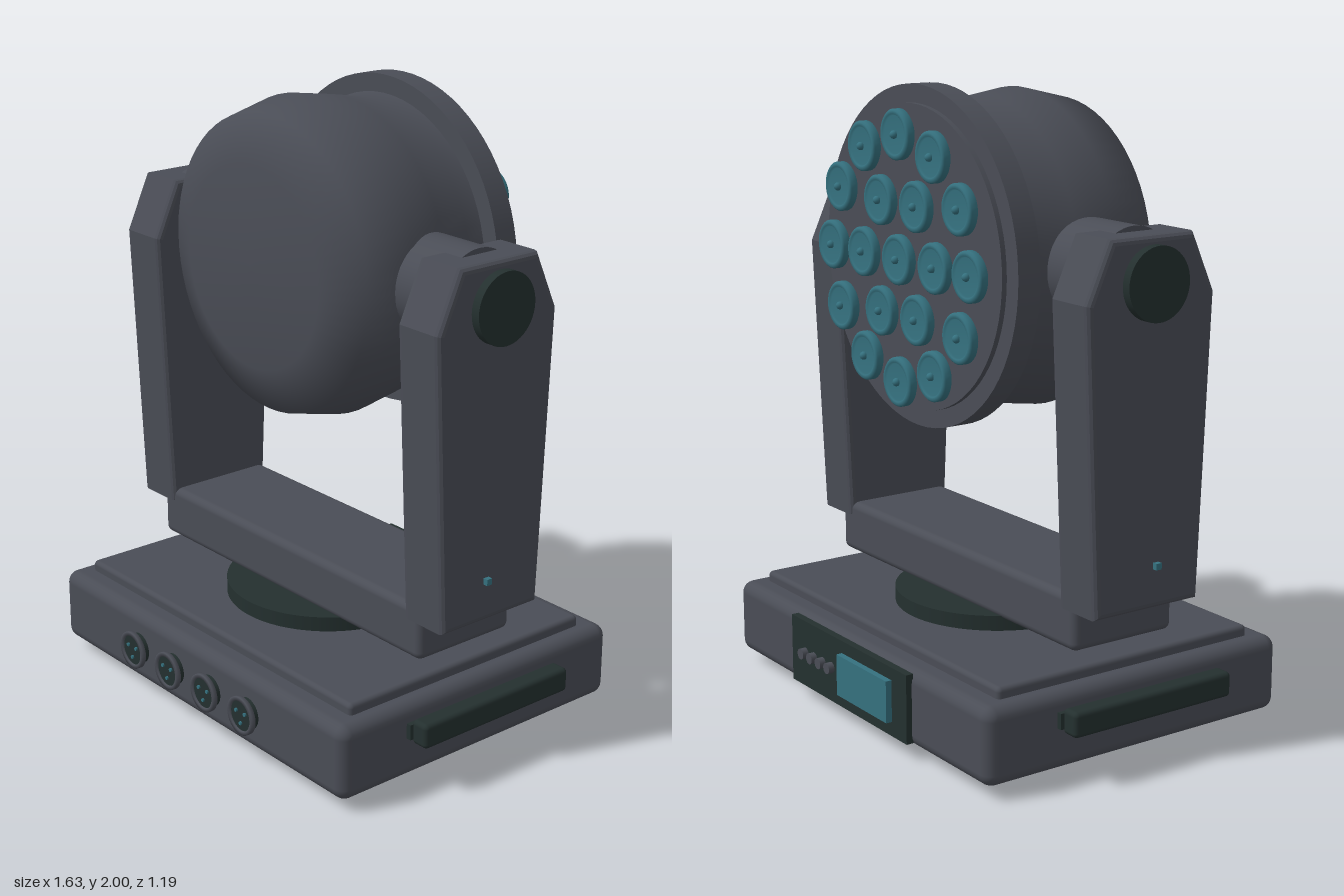
import * as THREE from 'three';
import { RoundedBoxGeometry } from 'three/addons/geometries/RoundedBoxGeometry.js';

const mat = (name, color) => {
  const m = new THREE.MeshStandardMaterial({ color });
  m.name = name;
  return m;
};

export function createModel() {
  const body = mat('charcoal housing', 0x4a4d56);
  const dark = mat('dark trim', 0x24302f);
  const teal = mat('teal glass', 0x35717f);
  const root = new THREE.Group();
  root.name = 'stageLight';

  const add = (name, geo, material, x = 0, y = 0, z = 0, parent = root) => {
    const m = new THREE.Mesh(geo, material);
    m.name = name;
    m.position.set(x, y, z);
    parent.add(m);
    return m;
  };
  const box = (w, h, d, r) => new RoundedBoxGeometry(w, h, d, 3, r);
  const cylY = (r, h, n = 48) => new THREE.CylinderGeometry(r, r, h, n);
  const cylX = (r, h, n = 48) => cylY(r, h, n).rotateZ(Math.PI / 2);
  const cylZ = (r, h, n = 48) => cylY(r, h, n).rotateX(Math.PI / 2);
  // Lathe around z: points are [radius, z] from back to front
  const latheZ = (pts, n = 64) =>
    new THREE.LatheGeometry(pts.map(p => new THREE.Vector2(p[0], p[1])), n).rotateX(Math.PI / 2);

  // Base
  add('base', box(1.48, 0.245, 1.12, 0.04), body, 0, 0.16, 0);
  add('baseTopPlate', box(1.36, 0.08, 0.96, 0.015), body, 0, 0.277, 0);
  for (const x of [-0.565, 0.565])
    for (const z of [-0.385, 0.385]) add('foot', cylY(0.07, 0.05, 32), dark, x, 0.025, z);
  add('panDisc', cylY(0.335, 0.055, 64), dark, 0, 0.338, 0);

  // Carry handles on both sides of the base
  for (const s of [-1, 1]) {
    add('handle', box(0.065, 0.08, 0.6, 0.015), dark, s * 0.782, 0.2, 0);
    add('handleMount', new THREE.BoxGeometry(0.03, 0.05, 0.62), dark, s * 0.742, 0.2, 0);
  }

  // Sockets along the front of the base
  const socketGeo = latheZ([[0.05, 0], [0.05, 0.015], [0.063, 0.022], [0.063, 0.036], [0.05, 0.036], [0.05, 0.026]], 32);
  for (let i = 0; i < 4; i++) {
    const g = new THREE.Group();
    g.name = 'socket';
    g.position.set(-0.293 + i * 0.194, 0.16, 0.558);
    root.add(g);
    add('socketRim', socketGeo, body, 0, 0, 0, g);
    add('socketFace', cylZ(0.051, 0.028, 32), dark, 0, 0, 0.016, g);
    for (const a of [Math.PI / 6, Math.PI * 5 / 6, Math.PI * 1.5])
      add('socketPin', cylZ(0.006, 0.01, 10), teal, 0.025 * Math.cos(a), 0.025 * Math.sin(a), 0.031, g);
  }

  // Control panel on the rear of the base
  add('controlPanel', new THREE.BoxGeometry(0.685, 0.222, 0.025), dark, 0, 0.164, -0.567);
  add('screen', new THREE.BoxGeometry(0.29, 0.135, 0.022), teal, -0.115, 0.167, -0.589);
  for (let i = 0; i < 4; i++)
    add('button', cylZ(0.018, 0.024, 20), body, 0.095 + i * 0.054, 0.167, -0.588);

  // Yoke: cross bar and two tapered arms
  add('yokeBar', box(1.32, 0.175, 0.38, 0.025), body, 0, 0.443, 0);
  const b = 0.02;
  const half = [[0.196 - b, 0.485 + b], [0.236 - b, 1.42], [0.16 - b, 1.608 - b]];
  const profile = [...half, ...half.map(([z, y]) => [-z, y]).reverse()];
  const armGeo = new THREE.ExtrudeGeometry(
    new THREE.Shape(profile.map(([z, y]) => new THREE.Vector2(z, y))),
    { depth: 0.18 - 2 * b, bevelEnabled: true, bevelSize: b, bevelThickness: b, bevelSegments: 3 }
  ).rotateY(Math.PI / 2).translate(-0.09 + b, 0, 0);
  for (const s of [-1, 1]) {
    add('yokeArm', armGeo, body, s * 0.68, 0, 0);
    add('trunnion', cylX(0.152, 0.28), body, s * 0.54, 1.473, 0);
    add('tiltCap', cylX(0.112, 0.045), dark, s * 0.777, 1.47, 0);
    add('armIndicator', new THREE.BoxGeometry(0.025, 0.02, 0.02), teal, s * 0.774, 0.62, 0.027);
  }

  // Lamp head
  const head = new THREE.Group();
  head.name = 'head';
  head.position.y = 1.47;
  root.add(head);
  add('headShell', latheZ([[0.475, -0.24], [0.463, -0.17], [0.485, -0.05], [0.505, 0.08],
    [0.468, 0.24], [0.32, 0.304], [0, 0.306]]), body, 0, 0, 0, head);
  add('headRim', cylZ(0.53, 0.08, 72), body, 0, 0, -0.263, head);
  add('facePlate', cylZ(0.473, 0.03, 72), body, 0, 0, -0.305, head);

  // Lens array: centre, ring of six, ring of twelve
  const lensGeo = latheZ([[0, -0.026], [0.058, -0.026], [0.062, -0.032], [0.072, -0.032],
    [0.078, -0.026], [0.078, -0.006], [0.07, 0], [0, 0]], 32);
  const nubGeo = new THREE.SphereGeometry(0.013, 12, 8);
  for (const [count, radius] of [[1, 0], [6, 0.2], [12, 0.382]])
    for (let i = 0; i < count; i++) {
      const a = (i / count) * Math.PI * 2;
      const x = radius * Math.cos(a), y = radius * Math.sin(a);
      add('lens', lensGeo, teal, x, y, -0.354, head);
      add('lensNub', nubGeo, teal, x, y, -0.384, head);
    }
  return root;
}
